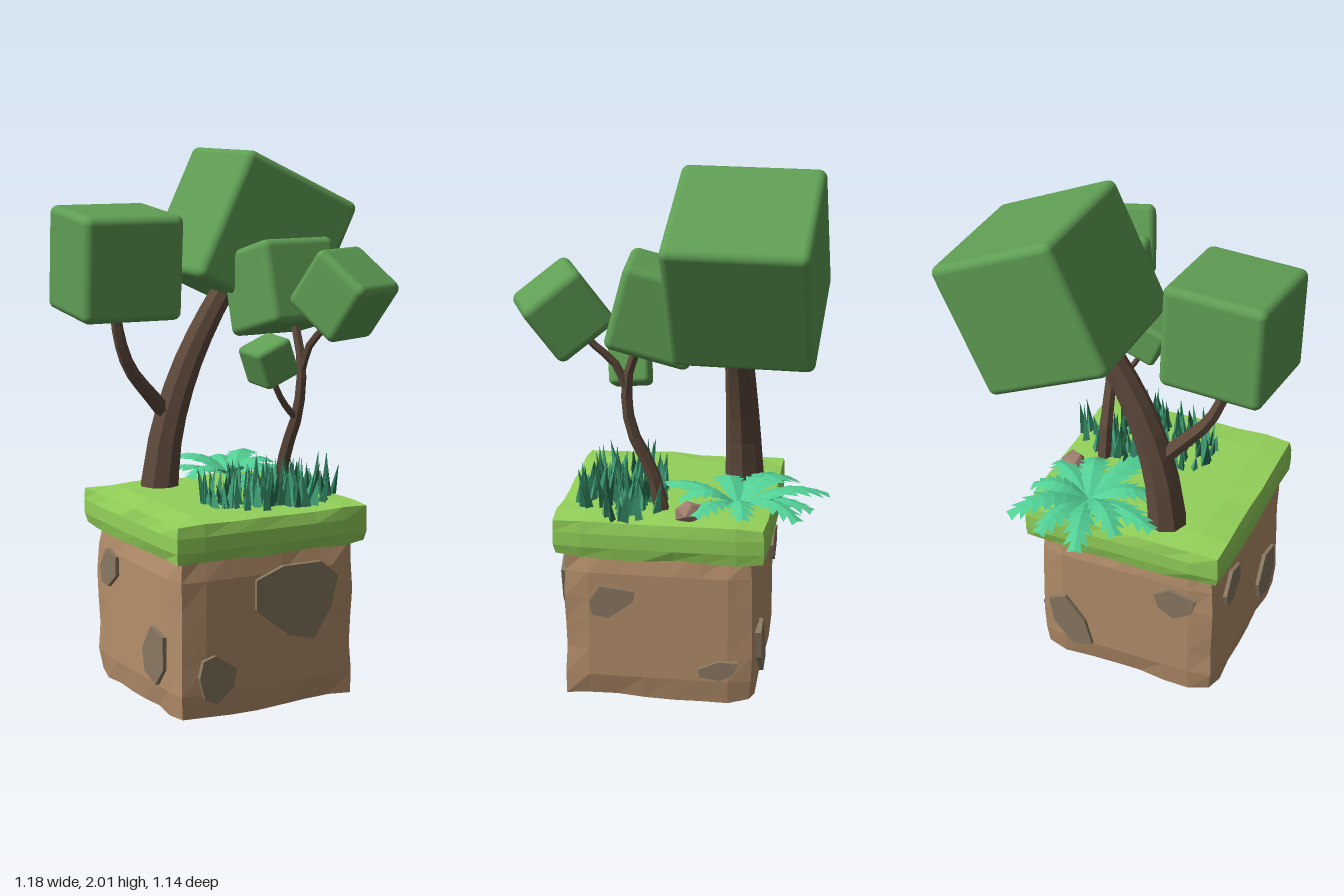
import * as THREE from 'three';
import { mergeGeometries } from 'three/addons/utils/BufferGeometryUtils.js';
import { RoundedBoxGeometry } from 'three/addons/geometries/RoundedBoxGeometry.js';

const V = (x, y, z) => new THREE.Vector3(x, y, z);

// repeatable random numbers in 0..1
function seeded(seed) {
  return () => {
    seed = (seed * 16807) % 2147483647;
    return seed / 2147483647;
  };
}

// position-based noise, so that shared corners move together
function noise(x, y, z) {
  const n = Math.sin(x * 127.1 + y * 311.7 + z * 74.7) * 43758.5453;
  return n - Math.floor(n);
}

function faceted(geometry) {
  const g = geometry.index ? geometry.toNonIndexed() : geometry;
  g.computeVertexNormals();
  return g;
}

// block with unevenly chipped edges
function chippedBlock(w, h, d, nx, ny, nz, chip) {
  const g = new THREE.BoxGeometry(w, h, d, nx, ny, nz);
  const p = g.attributes.position;
  const half = V(w / 2, h / 2, d / 2);
  for (let i = 0; i < p.count; i++) {
    const v = V(0, 0, 0).fromBufferAttribute(p, i);
    const key = v.clone().multiplyScalar(10).round();
    const r = chip * (0.6 + 0.8 * noise(key.x, key.y, key.z));
    const inner = half.clone().subScalar(r);
    const core = v.clone().clamp(inner.clone().negate(), inner);
    const out = v.clone().sub(core);
    if (out.length() > r * 1.01) v.copy(core).addScaledVector(out.normalize(), r);
    p.setXYZ(i, v.x, v.y, v.z);
  }
  return faceted(g);
}

// tube along points, narrowing from r0 to r1
function taperedTube(points, r0, r1, sides = 8, steps = 9) {
  const curve = new THREE.CatmullRomCurve3(points);
  const g = new THREE.TubeGeometry(curve, steps, 1, sides);
  const p = g.attributes.position;
  for (let i = 0; i < p.count; i++) {
    const t = Math.floor(i / (sides + 1)) / steps;
    const c = curve.getPointAt(t);
    const v = V(0, 0, 0).fromBufferAttribute(p, i).sub(c);
    v.multiplyScalar(r0 + (r1 - r0) * Math.pow(t, 0.8)).add(c);
    p.setXYZ(i, v.x, v.y, v.z);
  }
  return faceted(g);
}

// arching leaf with toothed edges, along +x
function frondGeometry(length, width, rise) {
  const n = 7, pos = [];
  const spine = (t) => V(length * t, rise * Math.sin(Math.PI * 0.85 * t), 0);
  const edge = (t, w, side) => spine(Math.min(t, 1)).add(V(0, -0.25 * w, side * w));
  for (let i = 0; i < n; i++) {
    const a = i / n, b = (i + 1) / n;
    const w = width * Math.sin(Math.PI * (0.12 + 0.84 * a));
    for (const side of [-1, 1]) {
      const s0 = spine(a), s1 = spine(b);
      const e0 = edge(a, w * 0.5, side), e1 = edge(b + 0.06, w, side);
      const tris = side > 0 ? [s0, e0, e1, s0, e1, s1] : [s0, e1, e0, s0, s1, e1];
      tris.forEach((v) => pos.push(v.x, v.y, v.z));
    }
  }
  const g = new THREE.BufferGeometry();
  g.setAttribute('position', new THREE.Float32BufferAttribute(pos, 3));
  g.computeVertexNormals();
  return g;
}

export function createModel() {
  const group = new THREE.Group();
  const paint = (name, color, side = THREE.FrontSide) => {
    const m = new THREE.MeshStandardMaterial({ color, side });
    m.name = name;
    return m;
  };
  const dirt = paint('dirt', 0xb58f6b);
  const turf = paint('turf', 0x94d25a);
  const foliage = paint('foliage', 0x5f9e54);
  const bark = paint('bark', 0x5e4a3c);
  const stone = paint('stone', 0x8a7962);
  const pebble = paint('pebble', 0xa08070);
  const fern = paint('fern', 0x52d095, THREE.DoubleSide);
  const bladeLight = paint('blade light', 0x43a67c);
  const bladeDark = paint('blade dark', 0x2b7655);

  const add = (name, geometry, material, position = V(0, 0, 0)) => {
    const mesh = new THREE.Mesh(geometry, material);
    mesh.name = name;
    mesh.position.copy(position);
    group.add(mesh);
    return mesh;
  };

  // ground block
  add('dirtBlock', chippedBlock(0.73, 0.62, 0.73, 7, 6, 7, 0.05), dirt, V(-0.045, 0.31, 0.045));
  add('turfSlab', chippedBlock(0.8, 0.16, 0.8, 7, 3, 7, 0.035), turf, V(-0.04, 0.66, 0.04));

  // flat stones set in the four sides: outline as [across, up], turn about y
  const stones = [
    [0, [[-0.11, 0.5], [0.0, 0.54], [0.16, 0.54], [0.23, 0.48], [0.2, 0.36], [0.13, 0.255], [0.03, 0.28], [-0.11, 0.39]]],
    [0, [[-0.325, 0.23], [-0.275, 0.245], [-0.19, 0.185], [-0.205, 0.12], [-0.27, 0.065], [-0.32, 0.09], [-0.34, 0.17]]],
    [1, [[-0.3, 0.41], [-0.26, 0.47], [-0.13, 0.455], [-0.14, 0.41], [-0.23, 0.345], [-0.29, 0.355]]],
    [1, [[0.105, 0.155], [0.18, 0.19], [0.255, 0.19], [0.24, 0.145], [0.19, 0.115], [0.115, 0.125]]],
    [2, [[-0.27, 0.29], [-0.2, 0.32], [-0.12, 0.22], [-0.09, 0.11], [-0.17, 0.09], [-0.25, 0.18]]],
    [2, [[0.17, 0.46], [0.23, 0.5], [0.34, 0.48], [0.32, 0.41], [0.25, 0.37], [0.19, 0.4]]],
    [3, [[-0.23, 0.45], [-0.17, 0.53], [-0.09, 0.51], [-0.09, 0.44], [-0.16, 0.385], [-0.21, 0.39]]],
    [3, [[0.13, 0.22], [0.2, 0.32], [0.3, 0.3], [0.3, 0.18], [0.24, 0.11], [0.15, 0.14]]],
  ];
  const faceOffset = [V(0, 0, 0.39), V(0.3, 0, 0), V(0, 0, -0.3), V(-0.39, 0, 0)];
  for (const [turn, outline] of stones) {
    const shape = new THREE.Shape(outline.map(([x, y]) => new THREE.Vector2(x, y)));
    const g = new THREE.ExtrudeGeometry(shape, { depth: 0.035, bevelEnabled: false });
    add('sideStone', g, stone, faceOffset[turn]).rotation.y = (turn * Math.PI) / 2;
  }

  // large tree
  add('largeTrunk', taperedTube([V(-0.18, 0.7, -0.22), V(-0.145, 0.95, -0.215), V(-0.06, 1.2, -0.21),
    V(0.06, 1.42, -0.21), V(0.17, 1.57, -0.22)], 0.078, 0.042), bark);
  add('largeTreeBranch', taperedTube([V(-0.13, 0.99, -0.21), V(-0.21, 1.08, -0.2), V(-0.32, 1.21, -0.18),
    V(-0.375, 1.36, -0.16), V(-0.39, 1.48, -0.15)], 0.034, 0.019, 6), bark);

  // small tree
  add('smallTrunk', taperedTube([V(0.2, 0.7, 0.04), V(0.205, 0.88, 0.08), V(0.215, 1.05, 0.155),
    V(0.22, 1.23, 0.17), V(0.215, 1.42, 0.11)], 0.03, 0.017, 6), bark);
  add('frontFork', taperedTube([V(0.22, 1.2, 0.17), V(0.23, 1.3, 0.21), V(0.25, 1.38, 0.29),
    V(0.26, 1.46, 0.35)], 0.017, 0.012, 6, 6), bark);
  add('twig', taperedTube([V(0.215, 1.02, 0.145), V(0.16, 1.07, 0.165), V(0.11, 1.14, 0.18),
    V(0.08, 1.23, 0.18)], 0.014, 0.01, 6, 6), bark);

  // leaf cubes: name, size, centre, tilt in degrees
  const cubes = [
    ['largeCrown', 0.515, V(0.244, 1.673, -0.267), -0, -2.6, -25.5],
    ['branchCrown', 0.385, V(-0.387, 1.605, -0.147), 4.5, -3.3, 0],
    ['middleCrown', 0.315, V(0.205, 1.505, 0.05), -15, 3.5, 0],
    ['frontCrown', 0.25, V(0.268, 1.505, 0.388), 36, 22, 0],
    ['twigCrown', 0.15, V(0.075, 1.25, 0.18), 4, 4, 22],
  ];
  const rad = THREE.MathUtils.degToRad;
  for (const [name, size, centre, rx, ry, rz] of cubes) {
    const g = new RoundedBoxGeometry(size, size, size, 4, Math.min(0.03, size * 0.13));
    add(name, g, foliage, centre).rotation.set(rad(rx), rad(ry), rad(rz), 'YXZ');
  }

  // grass blades in an oval patch
  const rnd = seeded(1234);
  const blades = [[], []];
  for (let i = 0; i < 125; i++) {
    const a = rnd() * Math.PI * 2, r = Math.sqrt(rnd());
    const h = 0.07 + 0.085 * rnd();
    const g = new THREE.ConeGeometry(0.015 + 0.007 * rnd(), h, 3, 1, true);
    g.translate(0, h / 2, 0);
    g.rotateY(rnd() * 6.28);
    g.rotateX((rnd() - 0.5) * 0.4);
    g.rotateZ((rnd() - 0.5) * 0.4);
    g.translate(0.07 + 0.28 * r * Math.cos(a), 0.735, 0.195 + 0.175 * r * Math.sin(a));
    blades[i % 2].push(faceted(g));
  }
  add('lightGrassBlades', mergeGeometries(blades[0]), bladeLight);
  add('darkGrassBlades', mergeGeometries(blades[1]), bladeDark);

  // fern: fronds as [heading in degrees, length, rise]
  const fronds = [[10, 0.22, 0.06], [48, 0.32, 0.07], [75, 0.29, 0.05], [106, 0.34, 0.06], [135, 0.28, 0.08],
    [162, 0.32, 0.05], [200, 0.24, 0.06], [248, 0.35, 0.05], [285, 0.22, 0.07], [325, 0.24, 0.05]];
  for (const [heading, length, rise] of fronds) {
    add('fernFrond', frondGeometry(length, 0.06, rise), fern, V(0.14, 0.745, -0.23)).rotation.y = rad(heading);
  }

  // loose rock
  const rock = add('rock', faceted(new THREE.IcosahedronGeometry(0.055, 0)), pebble, V(0.28, 0.76, -0.065));
  rock.scale.set(0.9, 0.75, 1.1);
  rock.rotation.y = 0.5;

  return group;
}
